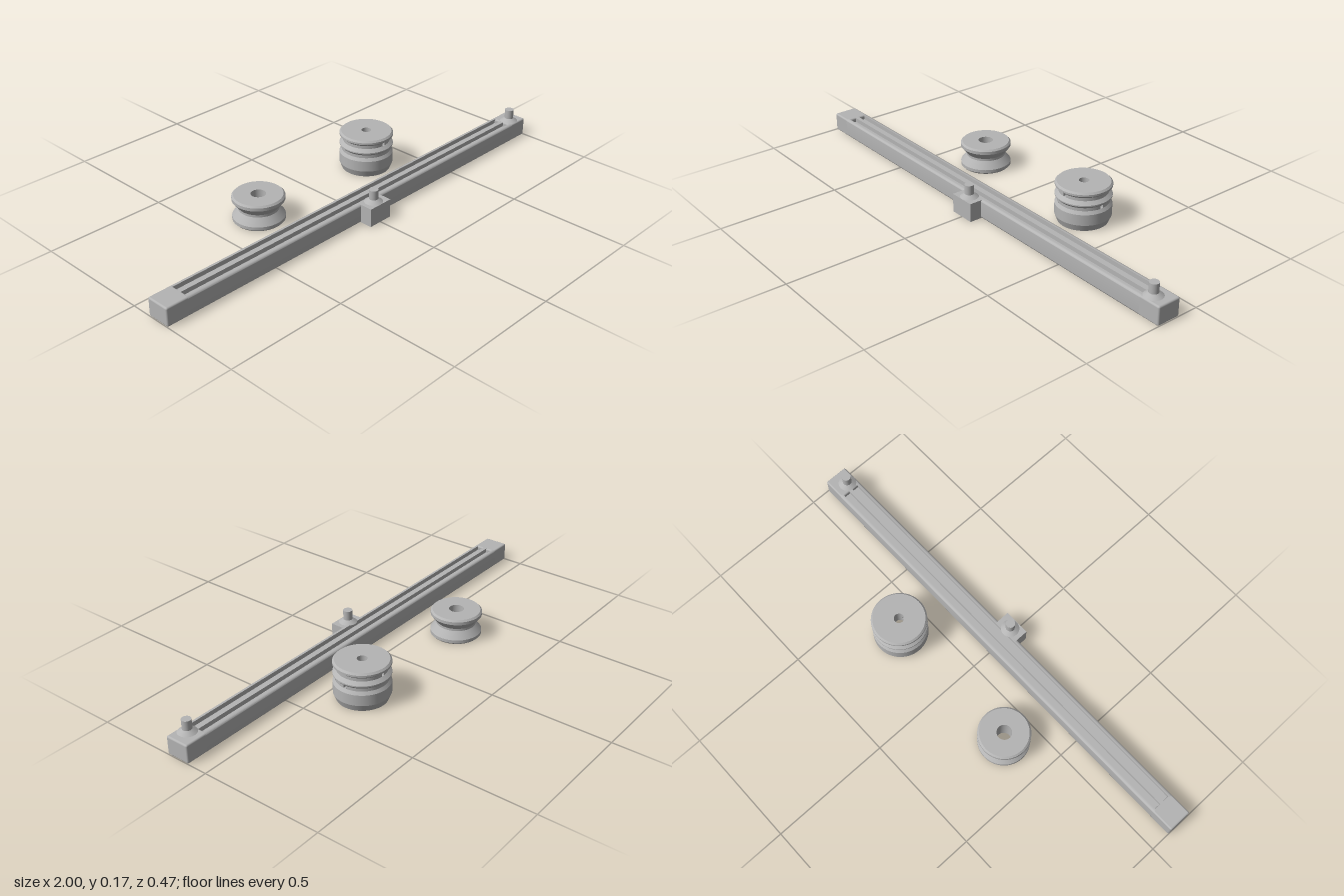
import * as THREE from 'three';
import { mergeGeometries, toCreasedNormals } from 'three/addons/utils/BufferGeometryUtils.js';
import { RoundedBoxGeometry } from 'three/addons/geometries/RoundedBoxGeometry.js';

const HOLE = 0.0065; // half width of the radial string holes

// Turned part: every profile edge is its own band, so edges stay crisp.
// A point may carry a list of angles where the band that starts there is pierced.
function turned(profile, segments = 64) {
  const bands = [];
  for (let i = 0; i < profile.length - 1; i++) {
    const [r0, y0, holes = []] = profile[i];
    const [r1, y1] = profile[i + 1];
    const pts = [new THREE.Vector2(r0, y0), new THREE.Vector2(r1, y1)];
    if (!holes.length) {
      bands.push(new THREE.LatheGeometry(pts, segments));
      continue;
    }
    const half = Math.asin(HOLE / r0);
    holes.forEach((angle, k) => {
      const next = k + 1 < holes.length ? holes[k + 1] : holes[0] + Math.PI * 2;
      const length = next - angle - 2 * half;
      bands.push(new THREE.LatheGeometry(pts, segments, angle + half, length));
    });
  }
  return mergeGeometries(bands);
}

// Square lining of a radial hole, running along z between two radii
function duct(from, to) {
  const g = new THREE.CylinderGeometry(HOLE * Math.SQRT2, HOLE * Math.SQRT2, to - from, 4, 1, true, Math.PI / 4);
  g.rotateX(Math.PI / 2);
  g.translate(0, 0, (from + to) / 2);
  return toCreasedNormals(g, 0.5);
}

// Rail section: rounded rectangle with two square grooves in its top
function railSection(width, height, radius, grooveDepth) {
  const w = width / 2, r = radius, s = new THREE.Shape();
  s.moveTo(-w + r, 0);
  s.lineTo(w - r, 0);
  s.absarc(w - r, r, r, -Math.PI / 2, 0, false);
  s.lineTo(w, height - r);
  s.absarc(w - r, height - r, r, 0, Math.PI / 2, false);
  for (const [a, b] of [[0.036, 0.008], [-0.008, -0.036]]) {
    s.lineTo(a, height);
    s.lineTo(a, height - grooveDepth);
    s.lineTo(b, height - grooveDepth);
    s.lineTo(b, height);
  }
  s.lineTo(-w + r, height);
  s.absarc(-w + r, height - r, r, Math.PI / 2, Math.PI, false);
  s.lineTo(-w, r);
  s.absarc(-w + r, r, r, Math.PI, Math.PI * 1.5, false);
  return s;
}

export function createModel() {
  const model = new THREE.Group();
  model.name = 'railAndPulleys';
  const grey = new THREE.MeshStandardMaterial({ color: 0xb4b4b4, side: THREE.DoubleSide });
  grey.name = 'plainGrey';

  const add = (name, geometry, x = 0, y = 0, z = 0, parent = model) => {
    const mesh = new THREE.Mesh(geometry, grey);
    mesh.name = name;
    mesh.position.set(x, y, z);
    parent.add(mesh);
    return mesh;
  };

  // Rail: grooved middle and solid rounded ends
  const railZ = 0.1325, railW = 0.1, railH = 0.077, round = 0.007;
  const middle = new THREE.ExtrudeGeometry(railSection(railW, railH, round, 0.018), {
    depth: 1.82, bevelEnabled: false, curveSegments: 4,
  });
  middle.translate(0, 0, -0.91);
  middle.rotateY(Math.PI / 2);
  add('groovedRail', toCreasedNormals(middle, 0.6), 0, 0, railZ);
  for (const side of [-1, 1]) {
    add(side > 0 ? 'leftRailEnd' : 'rightRailEnd',
      new RoundedBoxGeometry(0.1, railH, railW, 4, round), side * 0.95, railH / 2, railZ);
  }

  // Side block against the front of the rail
  add('sideBlock', new THREE.BoxGeometry(0.11, railH, 0.065), 0, railH / 2, 0.201);

  // Posts with conical feet
  const post = turned([[0.037, 0], [0.0185, 0.013], [0.0185, 0.052], [0, 0.052]], 40);
  add('blockPost', post, 0, railH, 0.196);
  add('railPost', post, 0.936, railH, 0.144);

  // Small pulley with a single V groove and a through bore
  add('smallPulley', turned([
    [0.03, 0], [0.097, 0], [0.104, 0.007], [0.104, 0.02], [0.08, 0.05],
    [0.08, 0.06], [0.104, 0.09], [0.104, 0.103], [0.097, 0.11], [0.03, 0.11], [0.03, 0],
  ]), -0.305, 0, -0.123);

  // Large pulley: hollow base, two grooves, bore and radial holes
  const large = new THREE.Group();
  large.name = 'largePulley';
  large.position.set(0.302, 0, -0.121);
  model.add(large);
  const through = [0, Math.PI], sideHole = [Math.PI / 2];
  add('largePulleyBody', turned([
    [0.078, 0], [0.1, 0], [0.111, 0.028], [0.111, 0.073],
    [0.102, 0.0855, sideHole], [0.102, 0.0985], [0.111, 0.108], [0.111, 0.113],
    [0.097, 0.1255, through], [0.097, 0.1385], [0.111, 0.15], [0.111, 0.158],
    [0.104, 0.165], [0.02, 0.165],
    [0.02, 0.1385, through], [0.02, 0.1255], [0.02, 0.1], [0.078, 0.1],
    [0.078, 0.0985, sideHole], [0.078, 0.0855], [0.078, 0],
  ]), 0, 0, 0, large);
  for (const angle of through) {
    add('stringHole', duct(0.019, 0.097), 0, 0.132, 0, large).rotation.y = angle;
  }
  add('sideHole', duct(0.0775, 0.102), 0, 0.092, 0, large).rotation.y = sideHole[0];

  return model;
}
